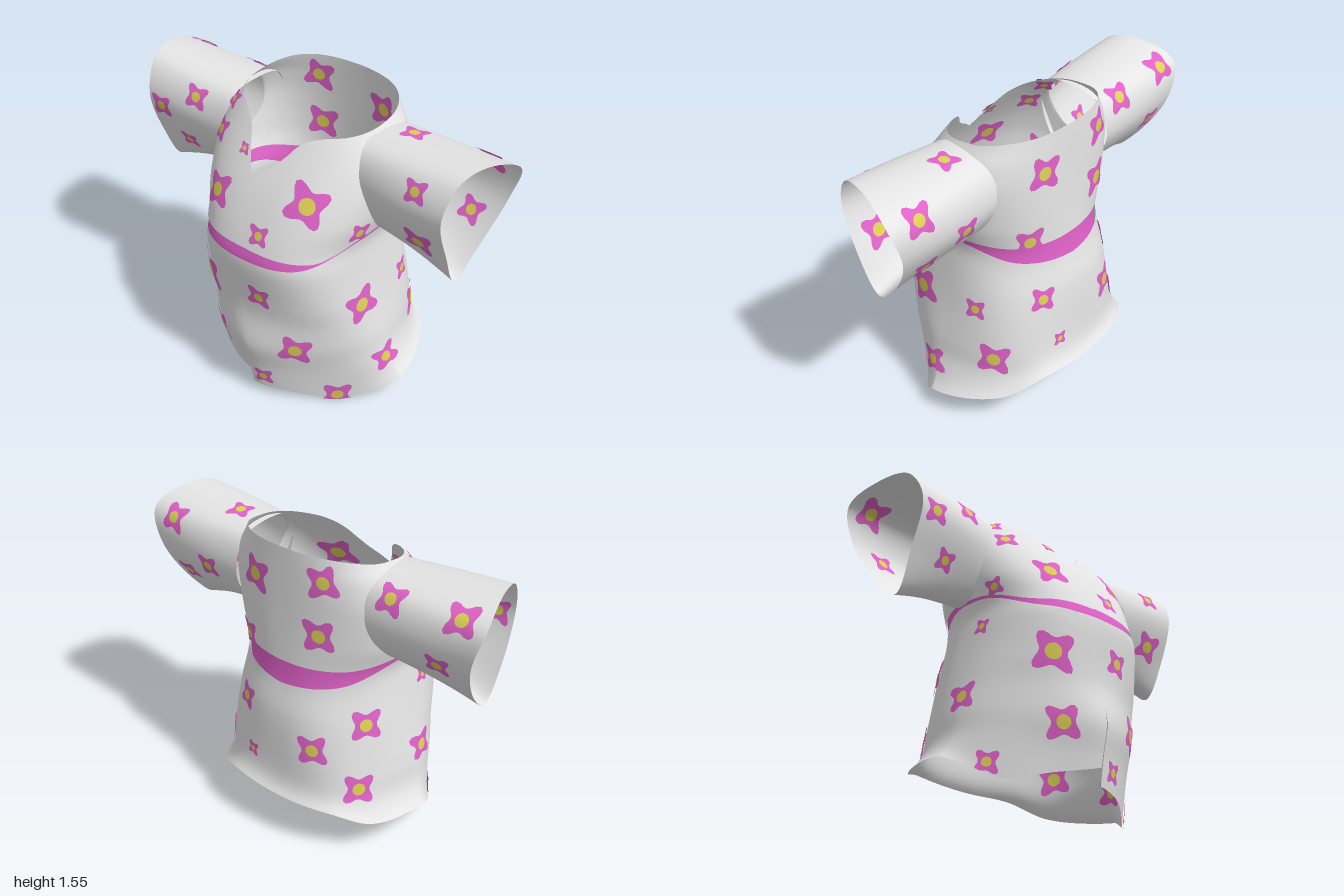
import * as THREE from 'three';
import { mergeGeometries } from 'three/addons/utils/BufferGeometryUtils.js';

const PI = Math.PI, TAU = 2 * PI;
const { lerp, smoothstep } = THREE.MathUtils;

// Smooth one-dimensional curve through [t, value] keys
function curve(keys) {
  const n = keys.length - 1;
  const slope = (i) => {
    const a = keys[Math.max(i - 1, 0)], b = keys[Math.min(i + 1, n)];
    return (b[1] - a[1]) / (b[0] - a[0]);
  };
  return (t) => {
    if (t <= keys[0][0]) return keys[0][1];
    if (t >= keys[n][0]) return keys[n][1];
    let i = 0;
    while (t > keys[i + 1][0]) i++;
    const h = keys[i + 1][0] - keys[i][0], f = (t - keys[i][0]) / h, g = 1 - f;
    return keys[i][1] * (1 + 2 * f) * g * g + keys[i + 1][1] * (3 - 2 * f) * f * f
      + h * f * g * (slope(i) * g - slope(i + 1) * f);
  };
}
const wrap = (a) => ((a % TAU) + TAU) % TAU;
const fold = (a) => { const w = wrap(a); return w > PI ? TAU - w : w; };
const symmetric = (keys) => { const c = curve(keys); return (a) => c(fold(a)); };

// Body profile by height; angle 0 is the front, rising towards +x
const halfWidth = curve([[0, .56], [.2, .535], [.3, .515], [.4, .505], [.6, .47], [.85, .435], [.95, .43], [1.1, .47], [1.3, .48], [1.42, .44], [1.5, .385], [1.56, .35]]);
const frontZ = curve([[0, .44], [.2, .47], [.35, .5], [.55, .48], [.85, .51], [.93, .49], [1.05, .44], [1.2, .36], [1.4, .225], [1.48, .17], [1.56, .13]]);
const backZ = curve([[0, -.45], [.3, -.465], [.5, -.46], [.7, -.44], [.86, -.4], [1, -.385], [1.56, -.36]]);
// Section roundness of the front: pinched at the hem, full above
const frontPower = curve([[0, 1.4], [.35, 1.15], [.65, .84], [1.6, .84]]);

// Edges by angle
const hem = curve([[0, .06], [.5, .04], [.87, 0], [1.25, .06], [1.57, .12], [2.3, .19], [2.7, .27], [PI, .27], [3.7, .26], [4.1, .2], [4.7, .18], [5.05, .13], [5.38, .06], [5.78, .1], [TAU, .15]]);
const skirtTop = symmetric([[0, .865], [.6, .88], [.9, .9], [1.4, .98], [1.8, .985], [2.4, .9], [PI, .855]]);
const bodiceBottom = symmetric([[0, .93], [.6, .925], [.9, .93], [1.4, .995], [1.8, 1.01], [2.4, .98], [PI, .97]]);
const neckKeys = symmetric([[0, 1.2], [.12, 1.3], [.27, 1.4], [.5, 1.445], [.85, 1.465], [1.57, 1.5], [2.3, 1.535], [PI, 1.545]]);
const neck = (a) => neckKeys(a + .07);

const rounded = (v, power) => Math.sign(v) * Math.pow(Math.abs(v), power);
function bodyPoint(a, y, out = 0) {
  const f = frontZ(y), b = backZ(y), c = Math.cos(a), power = c > 0 ? frontPower(y) : .84;
  const folds = .007 * Math.sin(5 * a + 5 * y) * Math.max(0, 1 - y / 1.4);
  const r = out + folds;
  return new THREE.Vector3((halfWidth(y) + r) * rounded(Math.sin(a), power), y,
    (f + b) / 2 + ((f - b) / 2 + r) * rounded(c, power));
}
// Outward kick of the hem at the sides and back
const flare = (a, rise) => .05 * Math.exp(-rise / .05) * smoothstep(fold(a), .9, 1.7);
function skirtPoint(a, y) {
  const h = hem(wrap(a)), yy = Math.max(y, h);
  return bodyPoint(a, yy, flare(a, yy - h));
}
const bodicePoint = (a, y) => bodyPoint(a, Math.min(y, neck(a) - .004));

// Sheet from a function of u and v; closed joins the u ends, hole cuts an opening
function sheet(fn, nu, nv, closed = false, hole = () => false) {
  const pos = [], idx = [], inside = [], cols = closed ? nu : nu + 1;
  for (let j = 0; j <= nv; j++) for (let i = 0; i < cols; i++) {
    const p = fn(i / nu, j / nv);
    inside.push(hole(p));
    pos.push(p.x, p.y, p.z);
  }
  const tri = (a, b, c) => { if (!(inside[a] && inside[b] && inside[c])) idx.push(a, b, c); };
  for (let j = 0; j < nv; j++) for (let i = 0; i < nu; i++) {
    const a = j * cols + i, b = j * cols + (i + 1) % cols;
    tri(a, b, a + cols);
    tri(b, b + cols, a + cols);
  }
  const g = new THREE.BufferGeometry();
  g.setAttribute('position', new THREE.Float32BufferAttribute(pos, 3));
  g.setIndex(idx);
  g.computeVertexNormals();
  return g;
}

// Thin patch that hugs a surface; radius gives its outline, lift its distance
function patch(surface, u0, v0, radius, lift) {
  const E = .004;
  const pu = surface(u0 + E, v0).sub(surface(u0 - E, v0)).divideScalar(2 * E);
  const pv = surface(u0, v0 + E).sub(surface(u0, v0 - E)).divideScalar(2 * E);
  const up = pv.clone().normalize(), skew = pu.dot(up), vLen = pv.length();
  const sideLen = pu.clone().addScaledVector(up, -skew).length();
  const n = pu.clone().cross(pv).normalize();
  return sheet((s, t) => {
    const phi = s * TAU, r = radius(phi) * (.02 + .98 * t);
    const du = r * Math.cos(phi) / sideLen, dv = (r * Math.sin(phi) - du * skew) / vLen;
    return surface(u0 + du, v0 + dv).addScaledVector(n, lift);
  }, 32, 4, true);
}

export function createModel() {
  const group = new THREE.Group();
  const material = (name, color) => new THREE.MeshStandardMaterial({ name, color, side: THREE.DoubleSide });
  const white = material('white cloth', 0xe5e5e5);
  const pink = material('pink', 0xe062c8);
  const yellow = material('yellow', 0xdcd056);
  const add = (name, geometry, mat) => {
    const m = new THREE.Mesh(geometry, mat);
    m.name = name;
    group.add(m);
  };
  // Four-pointed flowers on both faces of the cloth
  const flowers = (name, surface, list) => {
    const petals = [], centres = [];
    list.forEach(([u, v, h], i) => {
      const turn = .14 * Math.sin(i * 2.4);
      const star = (p) => h * (.72 + .58 * Math.abs(Math.sin(2 * (p + turn))) ** 3);
      for (const d of [-1, 1]) {
        petals.push(patch(surface, u, v, star, d * .007));
        centres.push(patch(surface, u, v, () => h * .43, d * .0095));
      }
    });
    add(name + 'Petals', mergeGeometries(petals), pink);
    add(name + 'FlowerCentres', mergeGeometries(centres), yellow);
  };
  const lapWeight = (s) => Math.max(0, 1 - s / .3) ** 2;
  const tuck = (s) => -.006 * lapWeight(1 - s);

  // Skirt, wrapped with its +x panel on top
  const skirtEdge = curve([[0, 0], [.5, -.03], [.7, -.12], [.8, -.3], [.87, -.65]]);
  add('skirt', sheet((s, t) => {
    const a = s * TAU, h = hem(a), y = lerp(h, skirtTop(a), t);
    return bodyPoint(a + skirtEdge(y) * lapWeight(s), y, tuck(s) + flare(a, y - h));
  }, 144, 36), white);
  flowers('skirt', skirtPoint, [
    [-.56, .65, .095], [.145, .68, .06], [-.49, .32, .08], [.56, .38, .08], [.21, .14, .05],
    [-1.04, .13, .055], [.87, .04, .075], [1.31, .62, .085], [1.92, .64, .05], [2.16, .38, .08],
    [1.45, .25, .065], [2.7, .69, .06], [3.54, .57, .075], [4.15, .7, .075], [4.02, .37, .075],
    [4.82, .47, .07], [4.82, .83, .04], [2.9, .43, .035]]);

  // Bodice with crossed front, V neck and round armholes
  const armhole = (p) => {
    const dz = p.z + .03, dy = p.y - 1.305, d = Math.hypot(dz, dy), R = .155;
    if (Math.abs(p.x) < .25 || d > R) return false;
    p.z = -.03 + dz * R / (d || 1);
    p.y = 1.305 + dy * R / (d || 1);
    return true;
  };
  add('bodice', sheet((s, t) => {
    const base = s * TAU - .07, a = base - .83 * (1 - t) * lapWeight(s);
    return bodyPoint(a, lerp(bodiceBottom(a), neck(base), t), tuck(s));
  }, 160, 36, false, armhole), white);
  flowers('bodice', bodicePoint, [
    [-.46, 1.1, .08], [.49, 1.19, .095], [.11, 1.01, .05], [-.82, 1.3, .055], [-.95, 1.42, .045],
    [-.26, 1.31, .03], [-1.25, 1.02, .045], [1.27, 1.05, .05], [2.82, 1.36, .08],
    [3.6, 1.43, .075], [3.51, 1.16, .08], [2.62, 1.01, .07]]);

  // Sash, showing between skirt and bodice
  add('sash', sheet((s, t) => {
    const a = s * TAU;
    return bodyPoint(a, lerp(skirtTop(a) - .02, bodiceBottom(a) + .02, t), -.008);
  }, 96, 6, true), pink);

  // Sleeves, from the shoulder loop to the drooping cuff loop
  const loop = (pts) => new THREE.CatmullRomCurve3(pts.map((p) => new THREE.Vector3(...p)), true);
  const shoulder = loop([[.37, 1.475, -.04], [.39, 1.43, .11], [.42, 1.28, .16], [.44, 1.1, .11],
    [.45, .99, 0], [.43, 1.06, -.15], [.4, 1.25, -.27], [.38, 1.43, -.22]]);
  const cuff = loop([[.95, 1.5, -.04], [.91, 1.475, .12], [.88, 1.32, .2], [.88, 1.08, .13],
    [.87, .885, .02], [.885, .98, -.1], [.95, 1.24, -.25], [1, 1.42, -.23]]);
  for (const side of [1, -1]) {
    const sleeve = (u, t) => {
      const k = u - Math.floor(u);
      const p = shoulder.getPoint(k).lerp(cuff.getPoint(k), t);
      const droop = Math.sin(PI * Math.min(1, Math.max(0, t)));
      p.z += .01 * droop * Math.sin(k * TAU);
      p.y += .015 * droop * Math.max(0, -Math.cos(k * TAU));
      p.x *= side;
      return p;
    };
    const name = side > 0 ? 'leftSleeve' : 'rightSleeve';
    add(name, sheet(sleeve, 64, 20, true), white);
    flowers(name, sleeve, side > 0
      ? [[.19, .66, .055], [.36, .68, .075], [.97, .27, .06], [.86, .75, .07], [.74, .35, .06], [.69, .75, .06]]
      : [[.185, .36, .06], [.27, .82, .06], [.38, .55, .05], [.88, .8, .075], [.86, .22, .07], [.72, .7, .06]]);
  }
  return group;
}
